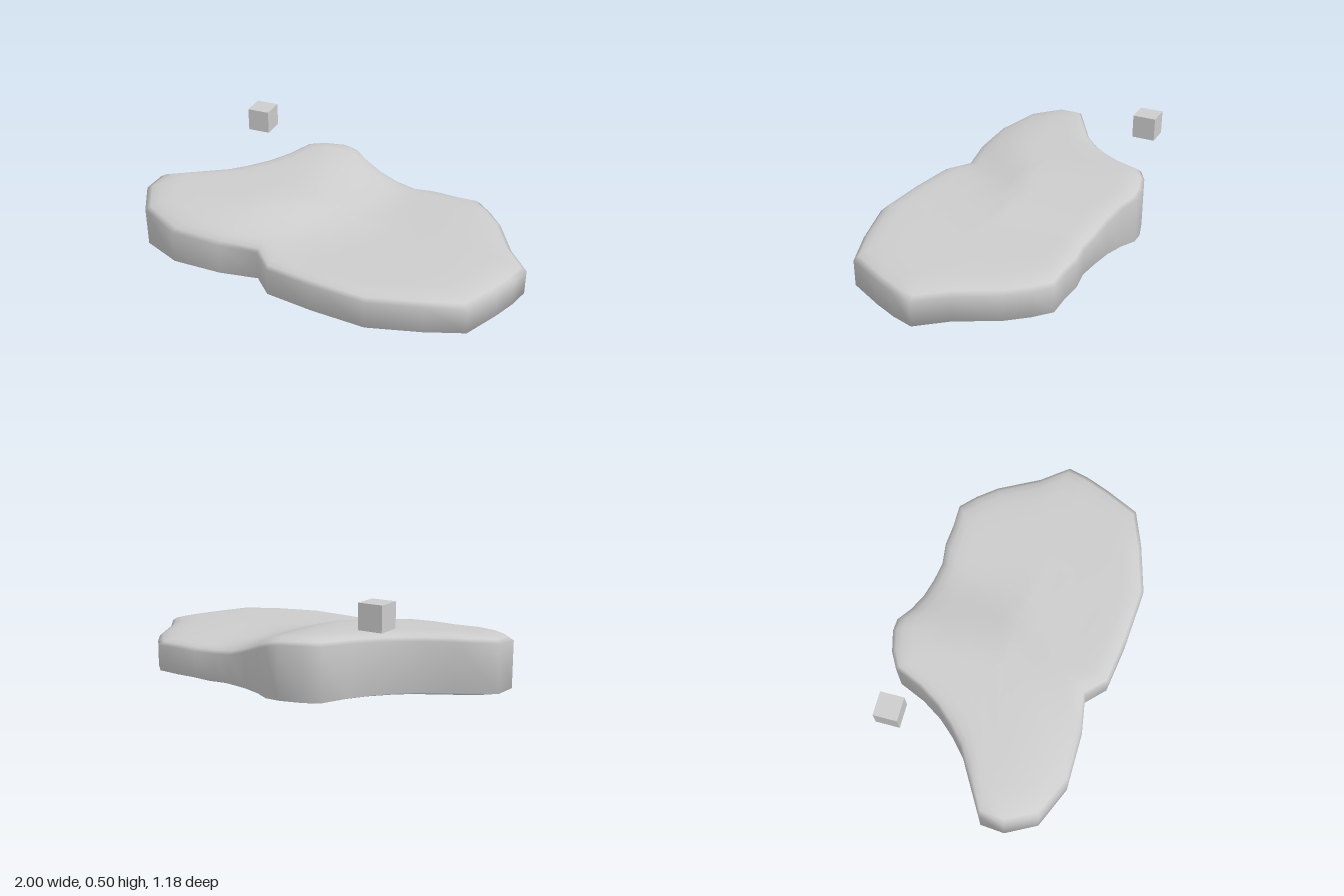
import * as THREE from 'three';

// Footprint of the slab as [x, z] pairs, running left tip, back, right tip, front
const OUTLINE = [
  [-1, .2], [-.99, .075], [-.81, -.03], [-.69, -.1], [-.6, -.18], [-.52, -.27], [-.45, -.38],
  [-.39, -.52], [-.31, -.565], [-.2, -.595], [-.13, -.595], [-.05, -.55], [.05, -.515],
  [.16, -.495], [.27, -.48], [.38, -.495], [.5, -.485], [.62, -.485], [.7, -.41], [.78, -.31],
  [.89, -.1], [1, .04], [.97, .15], [.92, .27], [.83, .45], [.64, .52], [.38, .59], [.1, .565],
  [-.15, .525], [-.25, .425], [-.45, .455], [-.71, .45], [-.92, .355],
];

// Height of the upper surface: a raised lobe at -x that slopes down to a low shelf at +x
function topHeight(x, z) {
  const front = Math.max(0, z);
  const high = .3 - .035 * z - .6 * Math.max(0, z - .15) ** 2;
  const low = .2 - .035 * Math.max(0, x - .6) - .02 * Math.max(0, -z);
  const mid = -.8 * front;
  return THREE.MathUtils.lerp(high, low, THREE.MathUtils.smoothstep(x, mid - .26, mid + .26));
}

// Rings from the underside, out to the wall and over the top: [scale, height rule]
const RINGS = [
  [.5, () => 0],
  [.89, () => 0],
  [1, () => .022],
  [1, (x, z) => topHeight(x, z) - .036],
  [.97, (x, z) => topHeight(x, z) - .019],
  [.92, (x, z) => topHeight(x, z) - .006],
  ...[.84, .72, .6, .46, .32, .16].map((s) => [s, topHeight]),
];

function slabGeometry() {
  const n = OUTLINE.length, pos = [], index = [];
  for (const [s, h] of RINGS) {
    for (const [px, pz] of OUTLINE) {
      const x = px * s, z = pz * s;
      pos.push(x, h(x, z), z);
    }
  }
  // Centre points closing the underside and the top
  const bottom = pos.length / 3, top = bottom + 1, last = (RINGS.length - 1) * n;
  pos.push(0, 0, 0, 0, topHeight(0, 0), 0);
  for (let i = 0; i < n; i++) {
    const j = (i + 1) % n;
    index.push(bottom, i, j, top, last + j, last + i);
    for (let k = 0; k < RINGS.length - 1; k++) {
      const a = k * n + i, b = k * n + j;
      index.push(a, a + n, b + n, a, b + n, b);
    }
  }
  const g = new THREE.BufferGeometry();
  g.setAttribute('position', new THREE.Float32BufferAttribute(pos, 3));
  g.setIndex(index);
  g.computeVertexNormals();
  return g;
}

export function createModel() {
  const group = new THREE.Group();
  const grey = new THREE.MeshStandardMaterial({ color: 0xcccccc });
  grey.name = 'light grey';

  // Smooth, irregular stone slab
  const slab = new THREE.Mesh(slabGeometry(), grey);
  slab.name = 'stoneSlab';
  group.add(slab);

  // Small cube floating above the back of the slab
  const cube = new THREE.Mesh(new THREE.BoxGeometry(.12, .122, .12), grey);
  cube.name = 'floatingCube';
  cube.position.set(-.635, .443, -.455);
  group.add(cube);

  return group;
}
